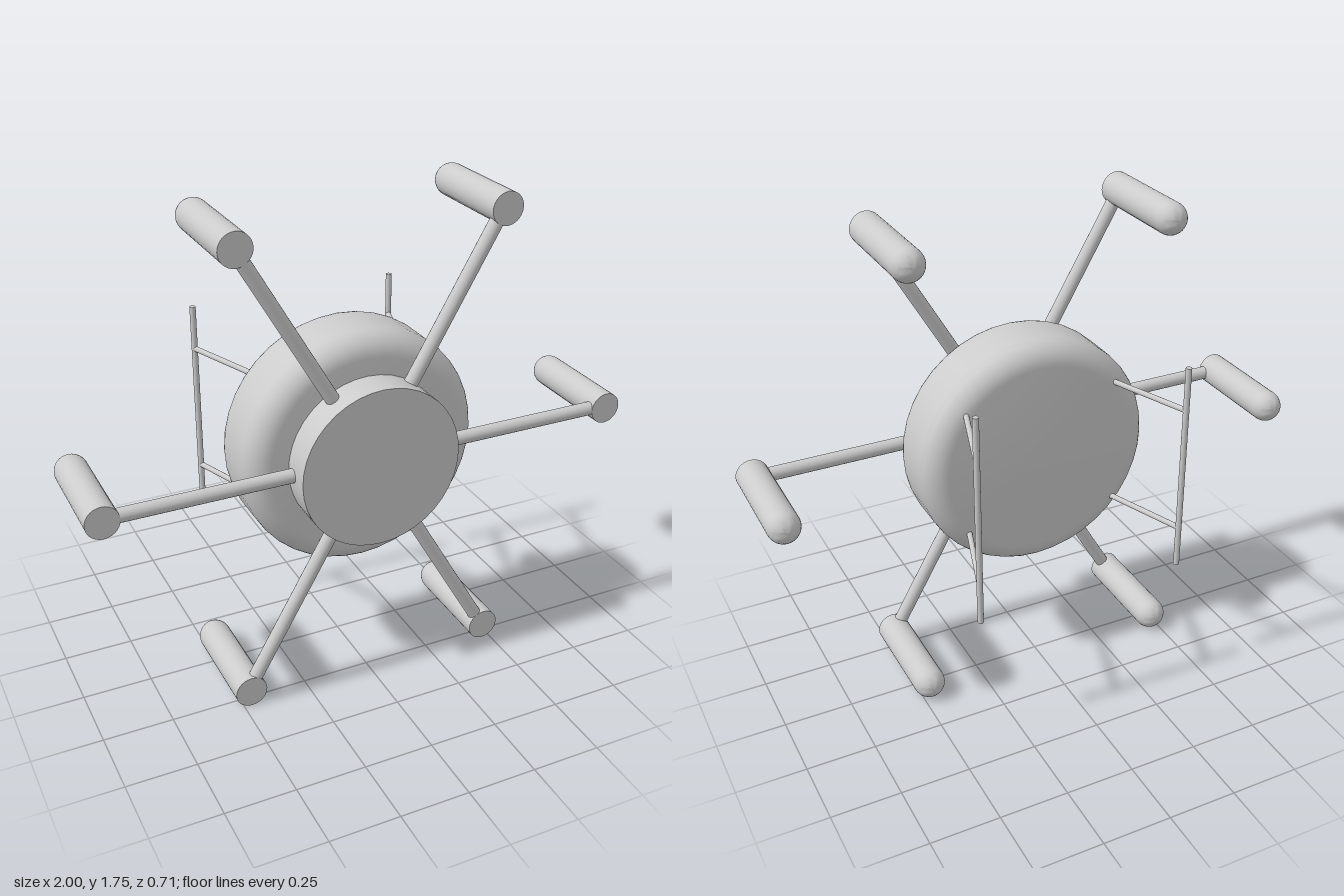
import * as THREE from 'three';
import { toCreasedNormals } from 'three/addons/utils/BufferGeometryUtils.js';

const CENTER_Y = 0.875;

export function createModel() {
  const model = new THREE.Group();
  model.name = 'hexacopter';
  const material = new THREE.MeshStandardMaterial({ color: 0xcccccc });

  function add(parent, geometry, name) {
    const mesh = new THREE.Mesh(geometry, material);
    mesh.name = name;
    parent.add(mesh);
    return mesh;
  }

  // Turned part whose axis runs along z; profile is [radius, z] from back to front
  function turned(profile, segments) {
    const points = profile.map(([r, z]) => new THREE.Vector2(r, z));
    const geometry = new THREE.LatheGeometry(points, segments);
    geometry.rotateX(Math.PI / 2);
    return toCreasedNormals(geometry, 0.6);
  }

  // Points of a quarter circle in (radius, z)
  function arc(r, z, radius, from, to, steps) {
    return Array.from({ length: steps + 1 }, (_, i) => {
      const a = from + (to - from) * i / steps;
      return [r + radius * Math.cos(a), z + radius * Math.sin(a)];
    });
  }

  // Round rod between two points
  function rod(parent, a, b, radius, name) {
    const start = new THREE.Vector3(...a), end = new THREE.Vector3(...b);
    const direction = end.clone().sub(start);
    const geometry = new THREE.CylinderGeometry(radius, radius, direction.length(), 16);
    const mesh = add(parent, geometry, name);
    mesh.position.copy(start).add(end).multiplyScalar(0.5);
    mesh.quaternion.setFromUnitVectors(new THREE.Vector3(0, 1, 0), direction.normalize());
    return mesh;
  }

  // Round body with soft rims
  const rim = 0.08, bodyR = 0.433, back = -0.055, front = 0.238;
  const body = add(model, turned([
    [0, back],
    ...arc(bodyR - rim, back + rim, rim, -Math.PI / 2, 0, 8),
    ...arc(bodyR - rim, front - rim, rim, 0, Math.PI / 2, 8),
    [0, front],
  ], 40), 'body');
  body.position.y = CENTER_Y;

  // Hub disc on the front
  const hub = add(model, turned([[0, 0.2], [0.291, 0.2], [0.291, 0.355], [0, 0.355]], 40), 'hub');
  hub.position.y = CENTER_Y;

  // Six arms, each carrying a motor with a domed back end
  const motorR = 0.058;
  const motorGeometry = turned([
    ...arc(0, -0.072, motorR, -Math.PI / 2, 0, 8),
    [motorR, 0.295],
    [0, 0.295],
  ], 28);
  for (let i = 0; i < 6; i++) {
    const a = i * Math.PI / 3;
    const arm = new THREE.Group();
    arm.name = 'arm' + (i + 1);
    arm.position.y = CENTER_Y;
    const c = Math.cos(a), s = Math.sin(a);
    rod(arm, [c * 0.26, s * 0.26, 0.27], [c * 0.92, s * 0.92, 0.27], 0.025, 'armTube');
    const motor = add(arm, motorGeometry, 'motor');
    motor.position.set(c * 0.942, s * 0.942, 0);
    model.add(arm);
  }

  // Landing skids behind the body, held by two splayed struts each
  for (const [name, inner, outer] of [['leftSkid', 0.275, 0.376], ['rightSkid', -0.285, -0.4]]) {
    const skid = new THREE.Group();
    skid.name = name;
    rod(skid, [outer, 0.485, -0.345], [outer, 1.27, -0.345], 0.011, 'skidBar');
    for (const y of [0.64, 1.11]) {
      rod(skid, [inner, y, -0.03], [outer, y, -0.345], 0.01, 'skidStrut');
    }
    model.add(skid);
  }

  return model;
}
